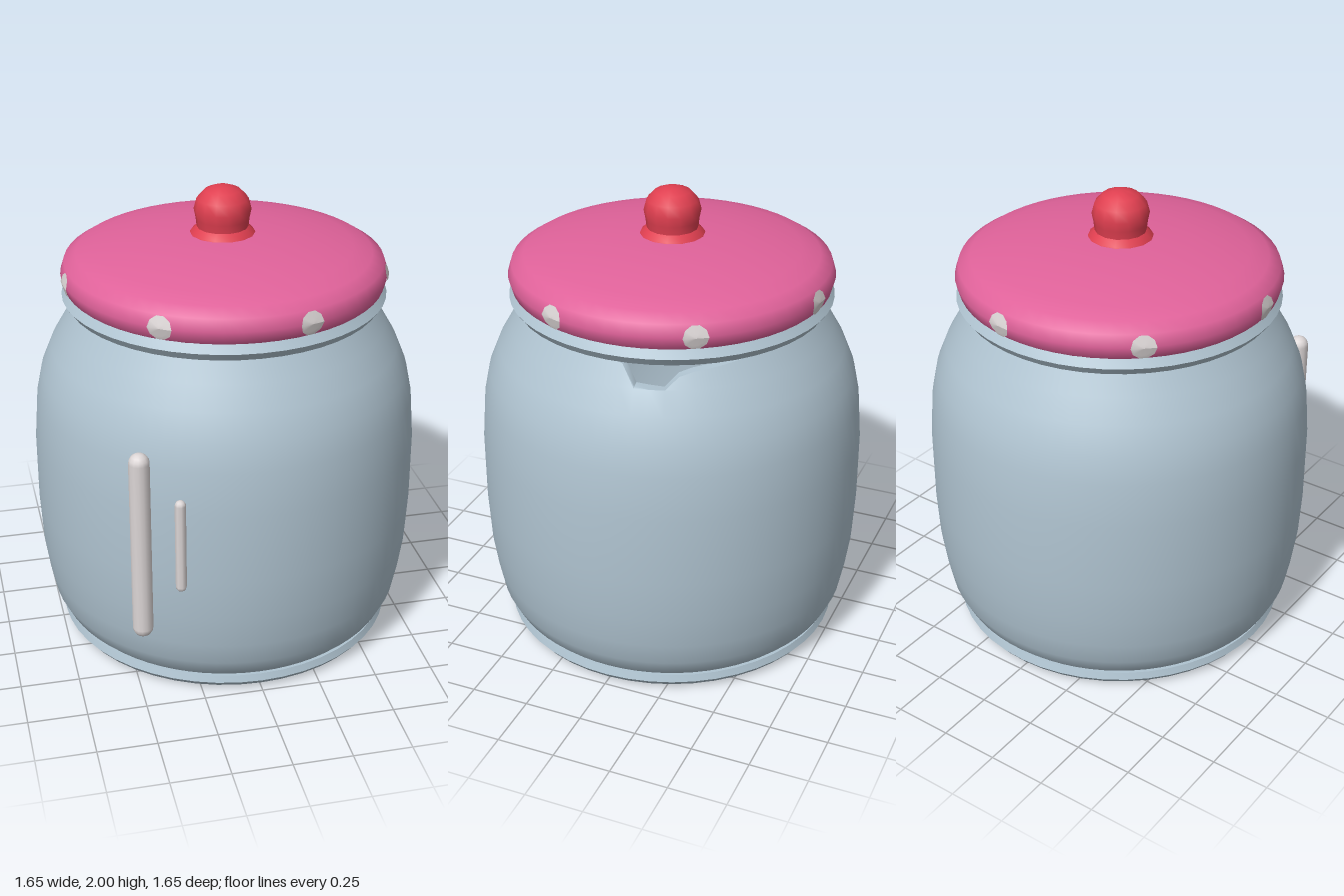
import * as THREE from 'three';
import { toCreasedNormals } from 'three/addons/utils/BufferGeometryUtils.js';

const mat = (name, color) => {
  const m = new THREE.MeshStandardMaterial({ color });
  m.name = name;
  return m;
};

// Piecewise linear interpolation through [key, value] pairs
function interpolate(table, t) {
  if (t <= table[0][0]) return table[0][1];
  for (let i = 1; i < table.length; i++) {
    const [k0, v0] = table[i - 1], [k1, v1] = table[i];
    if (t <= k1) return v0 + (v1 - v0) * (t - k0) / (k1 - k0);
  }
  return table[table.length - 1][1];
}

const lathe = (profile, segments) =>
  new THREE.LatheGeometry(profile.map(([r, y]) => new THREE.Vector2(r, y)), segments);

export function createModel() {
  const group = new THREE.Group();
  group.name = 'cookieJar';
  const blue = mat('paleBlue', 0xb0c4d1);
  const pink = mat('pink', 0xe0629a);
  const red = mat('red', 0xe03f50);
  const white = mat('offWhite', 0xdcd6d6);

  const add = (name, geometry, material) => {
    const mesh = new THREE.Mesh(geometry, material);
    mesh.name = name;
    group.add(mesh);
    return mesh;
  };
  const smooth = (geometry, crease = 0.7) => toCreasedNormals(geometry, crease);

  // Jar body: outer wall, rim, then inner wall
  const body = lathe([
    [0.70, 0.06], [0.74, 0.10], [0.775, 0.17], [0.795, 0.27], [0.815, 0.41], [0.825, 0.6],
    [0.825, 0.9], [0.81, 1.09], [0.785, 1.21], [0.74, 1.32], [0.685, 1.415], [0.632, 1.51],
    [0.592, 1.51], [0.645, 1.40], [0.70, 1.31], [0.75, 1.18], [0.78, 1.0], [0.78, 0.4],
    [0.68, 0.1], [0, 0.09],
  ], 72);

  // Chipped rim: lower the top edge over part of the circumference (degrees, depth)
  const chip = [[4, 0], [10, 0.09], [20, 0.1], [26, 0.04], [45, 0.015], [60, 0]];
  const p = body.attributes.position;
  for (let i = 0; i < p.count; i++) {
    if (p.getY(i) < 1.5) continue;
    const x = p.getX(i), z = p.getZ(i), r = Math.hypot(x, z);
    const dip = interpolate(chip, THREE.MathUtils.radToDeg(Math.atan2(-z, x)));
    const s = (r + dip * 0.5) / r;
    p.setXYZ(i, x * s, p.getY(i) - dip, z * s);
  }
  add('body', smooth(body), blue);

  // Foot
  add('foot', smooth(lathe([
    [0, 0.008], [0.64, 0.008], [0.67, 0], [0.715, 0.015], [0.735, 0.04], [0.725, 0.07], [0.69, 0.07],
  ], 48)), blue);

  // Band under the lid
  add('lidBand', smooth(lathe([
    [0.636, 1.512], [0.66, 1.512], [0.685, 1.547], [0.66, 1.585], [0.61, 1.585], [0.636, 1.512],
  ], 48)), blue);

  // Domed lid
  const lidSide = [[0.655, 1.575], [0.672, 1.59], [0.686, 1.64], [0.67, 1.69], [0.62, 1.722]];
  add('lid', smooth(lathe([
    [0, 1.575], ...lidSide,
    [0.54, 1.745], [0.43, 1.768], [0.3, 1.787], [0.15, 1.798], [0, 1.8],
  ], 56)), pink);

  // Seven spots that follow the curve of the lid
  const radiusAt = lidSide.map(([r, y]) => [y, r]);
  for (let k = 0; k < 7; k++) {
    const dot = new THREE.RingGeometry(0.0001, 0.052, 10, 6);
    const q = dot.attributes.position;
    const centre = THREE.MathUtils.degToRad(17.4 + k * 360 / 7);
    for (let i = 0; i < q.count; i++) {
      const y = 1.638 + q.getY(i), a = centre + q.getX(i) / 0.686;
      const r = interpolate(radiusAt, y) + 0.005;
      q.setXYZ(i, r * Math.sin(a), y, r * Math.cos(a));
    }
    dot.computeVertexNormals();
    add('lidSpot' + (k + 1), dot, white);
  }

  // Knob with flared base
  add('knob', smooth(lathe([
    [0.14, 1.79], [0.135, 1.802], [0.108, 1.825], [0.112, 1.86], [0.12, 1.9],
    [0.108, 1.945], [0.075, 1.98], [0.035, 1.996], [0, 2.0],
  ], 14)), red).position.x = -0.006;

  // Two upright rounded highlight bars
  for (const [name, x, z, r, y0, y1, sides] of [
    ['longBar', -0.497, 0.69, 0.043, 0.32, 1.17, 14],
    ['shortBar', -0.35, 0.77, 0.023, 0.565, 0.985, 8],
  ]) {
    const bar = add(name, new THREE.CapsuleGeometry(r, y1 - y0 - 2 * r, 4, sides), white);
    bar.position.set(x, (y0 + y1) / 2, z);
  }
  return group;
}
